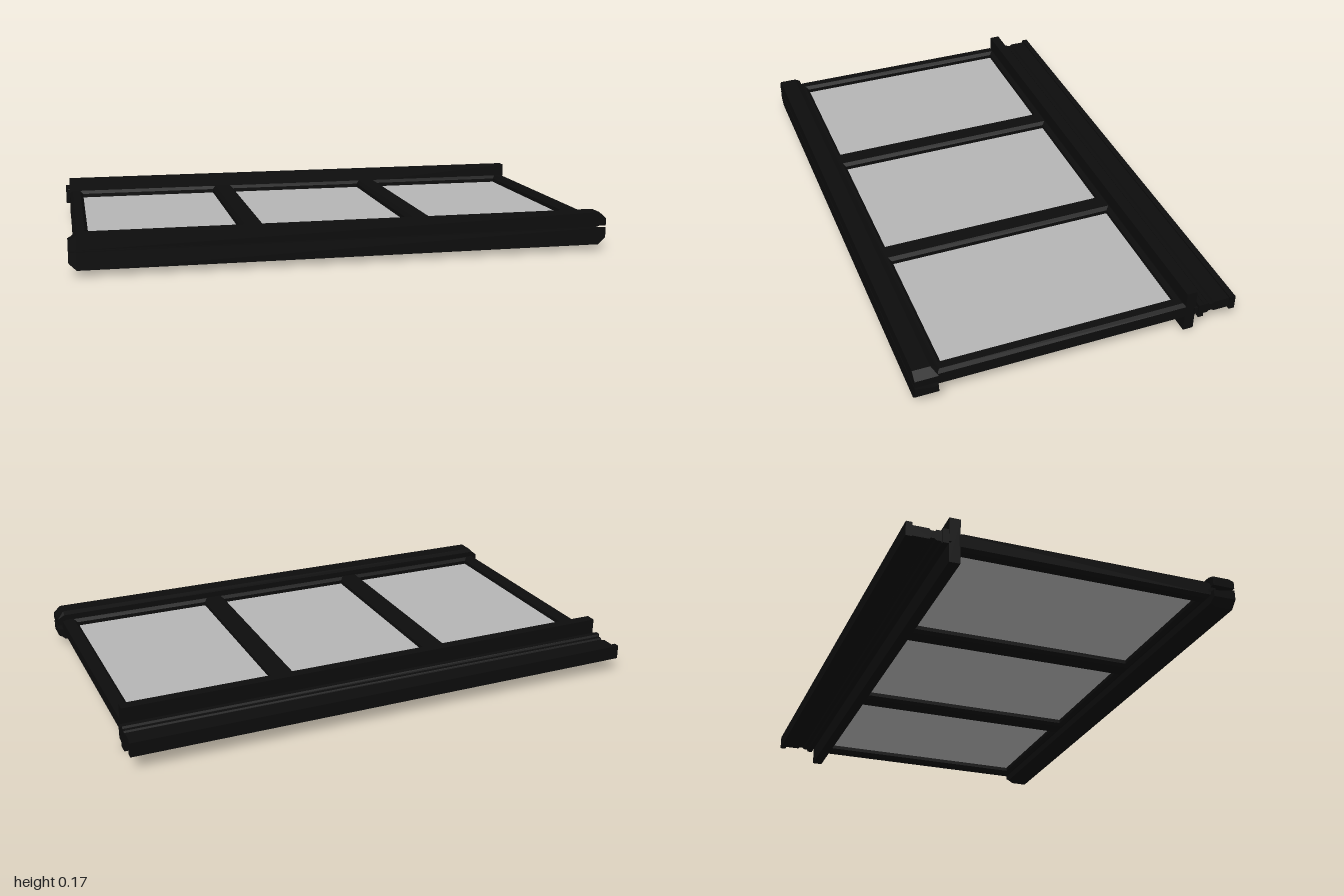
import * as THREE from 'three';

export function createModel() {
  const group = new THREE.Group();
  const black = new THREE.MeshStandardMaterial({ color: 0x0c0c0c });
  black.name = 'black frame';
  const grey = new THREE.MeshStandardMaterial({ color: 0xb4b4b4 });
  grey.name = 'grey glass';

  function add(name, geometry, material = black) {
    const mesh = new THREE.Mesh(geometry, material);
    mesh.name = name;
    group.add(mesh);
    return mesh;
  }

  // Box given by its limits on each axis
  function box(name, [x0, x1], [y0, y1], [z0, z1], material) {
    add(name, new THREE.BoxGeometry(x1 - x0, y1 - y0, z1 - z0), material)
      .position.set((x0 + x1) / 2, (y0 + y1) / 2, (z0 + z1) / 2);
  }

  // Extrudes a [z, y] profile along x, from -half to half
  function rail(points, half, steps = 1) {
    const shape = new THREE.Shape(points.map(([z, y]) => new THREE.Vector2(-z, y)));
    const g = new THREE.ExtrudeGeometry(shape, { depth: half * 2, steps, bevelEnabled: false });
    g.translate(0, 0, -half);
    g.rotateY(Math.PI / 2);
    return g;
  }

  // Frame with three openings, chamfered on both faces
  const rect = (path, x0, x1, z0, z1) =>
    path.moveTo(x0, -z1).lineTo(x1, -z1).lineTo(x1, -z0).lineTo(x0, -z0).closePath();
  const outline = new THREE.Shape();
  rect(outline, -0.98, 0.98, -0.42, 0.525);
  const panes = [[-0.925, -0.368], [-0.28, 0.28], [0.368, 0.925]];
  for (const [x0, x1] of panes) {
    const hole = new THREE.Path();
    rect(hole, x0, x1, -0.393, 0.495);
    outline.holes.push(hole);
  }
  const bevel = 0.012;
  const frame = new THREE.ExtrudeGeometry(outline, {
    depth: 0.069 - 2 * bevel, bevelThickness: bevel, bevelSize: bevel,
    bevelOffset: -bevel, bevelSegments: 1,
  });
  frame.rotateX(-Math.PI / 2);
  frame.translate(0, 0.053 + bevel, 0);
  add('paneFrame', frame);

  // Glass panes set into the openings
  for (const [x0, x1] of panes) {
    box('glassPane', [x0 - 0.005, x1 + 0.005], [0.08, 0.095], [-0.398, 0.5], grey);
  }

  // Front clamping rail: two jaws around a tongue, with sloping ends
  const jaws = {
    upperJaw: [[0.61, 0.095], [0.61, 0.148], [0.545, 0.148], [0.525, 0.138], [0.525, 0.095]],
    lowerJaw: [[0.61, 0.023], [0.61, 0.088], [0.55, 0.076], [0.525, 0.076], [0.525, 0.035], [0.545, 0.023]],
  };
  for (const [name, profile] of Object.entries(jaws)) {
    add(name, rail(profile, 0.972));
    // Sloping end pieces pull the outer corners towards the middle height
    for (const side of [-1, 1]) {
      const end = rail(profile, 0.014);
      end.translate(side * 0.986, 0, 0);
      const p = end.attributes.position;
      for (let i = 0; i < p.count; i++) {
        if (Math.abs(p.getX(i)) > 0.99) p.setY(i, Math.min(0.122, Math.max(0.05, p.getY(i))));
      }
      end.computeVertexNormals();
      add(name + 'End', end);
    }
  }
  box('frontTongue', [-0.98, 0.98], [0.075, 0.096], [0.515, 0.545]);

  // Upright flange at the back
  box('backFlange', [-0.98, 0.98], [0, 0.17], [-0.456, -0.416]);

  // Stepped connector behind the flange, symmetric about its middle height
  const half = [[-0.45, 0.013], [-0.462, 0.013], [-0.462, 0.027], [-0.482, 0.027], [-0.488, 0.02],
    [-0.503, 0.02], [-0.508, 0.014], [-0.522, 0.014], [-0.527, 0.02], [-0.588, 0.02],
    [-0.588, 0.027], [-0.61, 0.027]];
  const mid = 0.087;
  const profile = [
    ...half.map(([z, h]) => [z, mid + h]),
    ...half.slice().reverse().map(([z, h]) => [z, mid - h]),
  ];
  add('backConnector', rail(profile, 0.988));

  // Lips that stand slightly proud at the connector ends
  for (const [z0, z1] of [[-0.482, -0.462], [-0.61, -0.588]]) {
    box('connectorLip', [-0.995, 0.995], [mid - 0.027, mid + 0.027], [z0, z1]);
  }
  return group;
}
